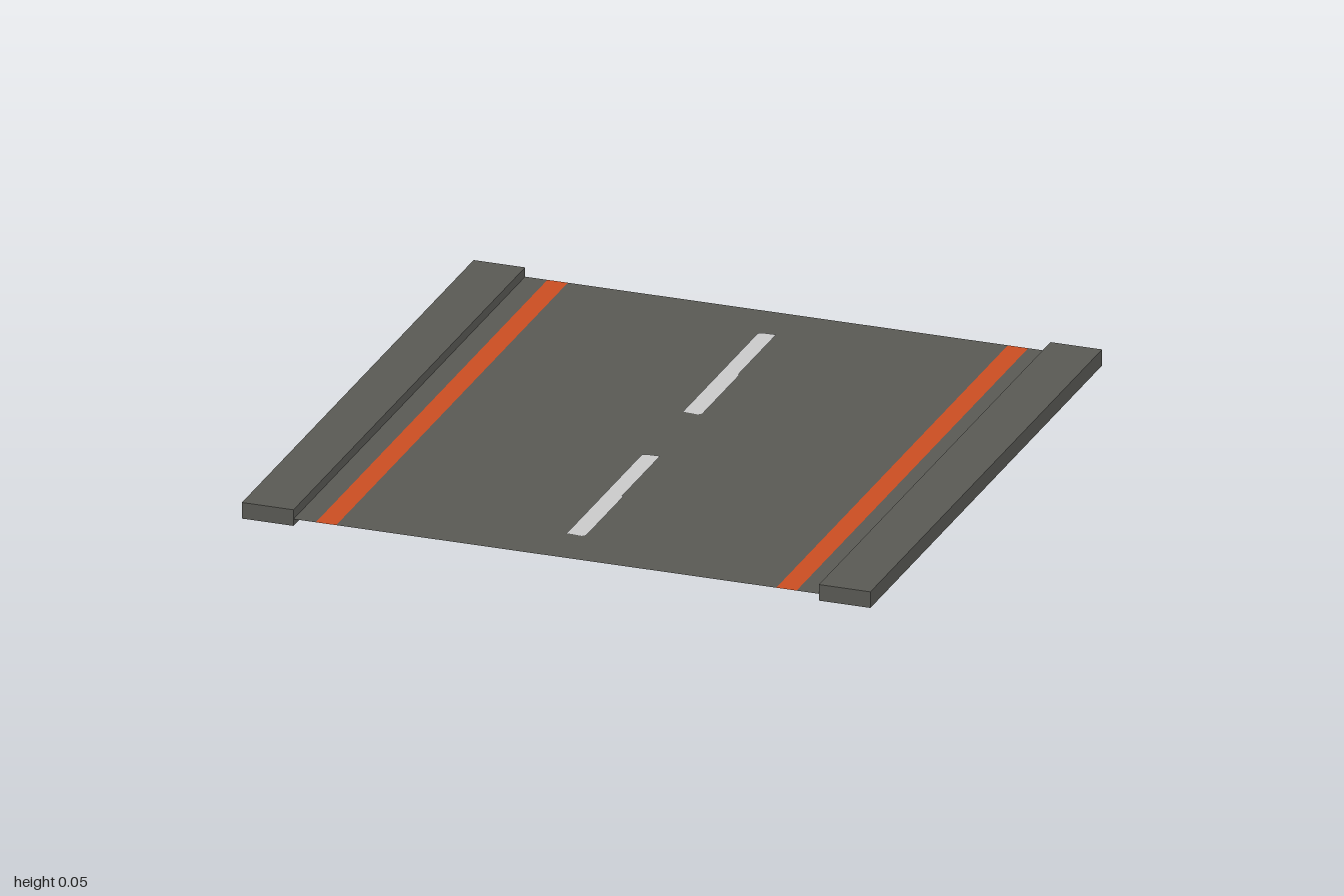
import * as THREE from 'three';

export function createModel() {
  const model = new THREE.Group();
  const mat = (name, color, side = THREE.FrontSide) => {
    const m = new THREE.MeshStandardMaterial({ color, side });
    m.name = name;
    return m;
  };
  const asphalt = mat('asphalt grey', 0x5a5a55, THREE.DoubleSide);
  const orange = mat('edge line orange', 0xcc4e22, THREE.DoubleSide);
  const white = mat('lane marking white', 0xcccccc);

  const add = (name, geometry, material) => {
    const mesh = new THREE.Mesh(geometry, material);
    mesh.name = name;
    model.add(mesh);
  };

  // Flat strips running the full length of the road
  const roadY = 0.022;
  const strip = (name, x0, x1, material) => {
    const g = new THREE.PlaneGeometry(x1 - x0, 2).rotateX(-Math.PI / 2);
    add(name, g.translate((x0 + x1) / 2, roadY, 0), material);
  };
  strip('roadSurface', -0.7, 0.7, asphalt);

  // Kerb: a hollow box without its underside
  const kerb = (name, x0, x1) => {
    const g = new THREE.BoxGeometry(x1 - x0, 0.052, 2);
    const index = Array.from(g.index.array);
    index.splice(18, 6);
    g.setIndex(index);
    g.clearGroups();
    add(name, g.translate((x0 + x1) / 2, 0.026, 0), asphalt);
  };

  for (const [side, s] of [['left', 1], ['right', -1]]) {
    const span = (a, b) => (s > 0 ? [a, b] : [-b, -a]);
    strip(side + 'EdgeLine', ...span(0.7, 0.765), orange);
    strip(side + 'Shoulder', ...span(0.765, 0.838), asphalt);
    kerb(side + 'Kerb', ...span(0.836, 1));
  }

  // Centre dashes: thin painted faces with worn corners
  const outline = [
    [-0.03, 0.18], [-0.02, 0.172], [0.025, 0.17], [0.025, 0.5], [0.03, 0.5],
    [0.03, 0.82], [0.02, 0.832], [-0.02, 0.828], [-0.03, 0.828],
  ];
  for (const [name, shift] of [['frontDash', 0], ['rearDash', -1.002]]) {
    const shape = new THREE.Shape(outline.map(([x, z]) => new THREE.Vector2(x, -z)));
    const g = new THREE.ShapeGeometry(shape).rotateX(-Math.PI / 2);
    add(name, g.translate(0, roadY + 0.003, shift), white);
  }
  return model;
}
